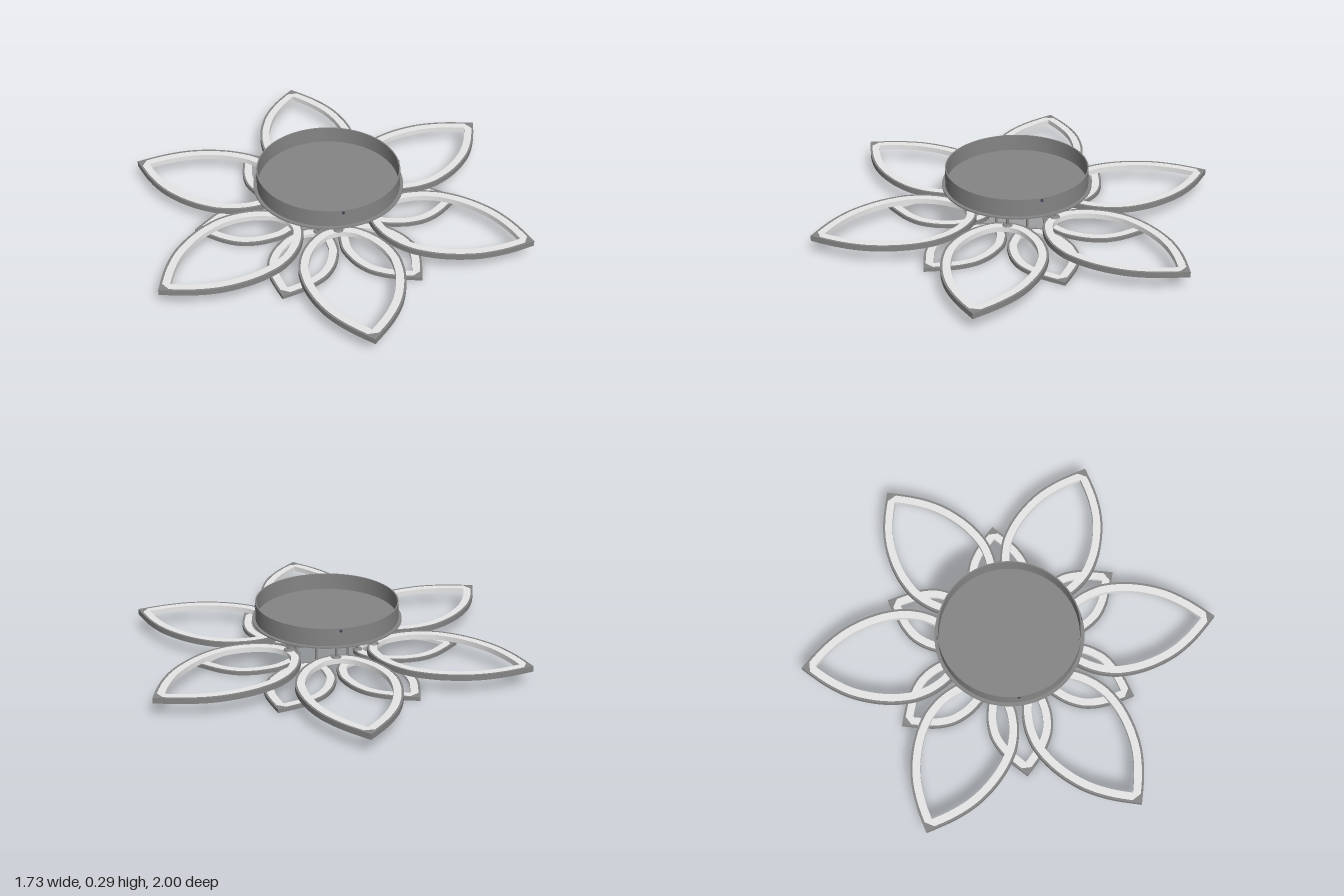
import * as THREE from 'three';
import { toCreasedNormals } from 'three/addons/utils/BufferGeometryUtils.js';

const metal = new THREE.MeshStandardMaterial({ color: 0x858585 });
metal.name = 'grey metal';
const diffuser = new THREE.MeshStandardMaterial({ color: 0xe8e8e8 });
diffuser.name = 'pale diffuser';
const screwPaint = new THREE.MeshStandardMaterial({ color: 0x45455a });
screwPaint.name = 'dark screw';

const V = (x, y) => new THREE.Vector2(x, y);

function add(parent, name, geometry, material, x = 0, y = 0, z = 0) {
  const mesh = new THREE.Mesh(geometry, material);
  mesh.name = name;
  mesh.position.set(x, y, z);
  parent.add(mesh);
  return mesh;
}

// Half outline from round base to pointed tip, as [radius, half width]
const largeProfile = [[0.21, 0], [0.222, 0.06], [0.25, 0.108], [0.31, 0.165], [0.38, 0.206], [0.45, 0.229],
  [0.51, 0.237], [0.6, 0.232], [0.7, 0.208], [0.8, 0.165], [0.9, 0.095], [1, 0]];
const smallProfile = [[0.13, 0], [0.14, 0.045], [0.165, 0.08], [0.2, 0.107], [0.25, 0.136], [0.32, 0.153],
  [0.38, 0.157], [0.45, 0.146], [0.52, 0.111], [0.58, 0.062], [0.645, 0]];

// Closed clockwise petal outline moved inwards by d, with a mitred tip
function outline(profile, d) {
  const mirrored = profile.slice(1).reverse().map(([r, w]) => V(r, -w));
  const curve = new THREE.SplineCurve([...mirrored, ...profile.map(([r, w]) => V(r, w))]);
  const n = 96;
  const half = [];
  for (let i = n / 2; i <= n; i++) {
    const p = curve.getPoint(i / n), t = curve.getTangent(i / n);
    half.push(V(p.x + t.y * d, p.y - t.x * d));
  }
  half[0].y = 0;
  const kept = half.filter((p, i) => i === 0 || p.y > 0.0005);
  const a = kept[kept.length - 2], b = kept[kept.length - 1];
  const tip = V(b.x + b.y * (b.x - a.x) / (a.y - b.y), 0);
  const lower = kept.slice(1).reverse().map((p) => V(p.x, -p.y));
  return [...kept, tip, ...lower];
}

// Upright extrusion; the hole runs the other way round so its walls face inwards
function slab(points, hole, depth) {
  const shape = new THREE.Shape(points);
  if (hole) shape.holes.push(new THREE.Path([...hole].reverse()));
  const geometry = new THREE.ExtrudeGeometry(shape, { depth, bevelEnabled: false });
  geometry.rotateX(-Math.PI / 2);
  return toCreasedNormals(geometry, 0.5);
}

// Ring of six petals with their hanging rods
function petalRing(name, profile, y, height, firstAngle, rodRadius) {
  const ring = new THREE.Group();
  ring.name = name + 'Ring';
  const outer = outline(profile, 0), middle = outline(profile, 0.01), inner = outline(profile, 0.046);
  const tipRadius = profile[profile.length - 1][0];
  const frame = slab(outer, middle, height);
  const strip = slab(middle, inner, height - 0.002);
  const tip = slab(outer.filter((p) => p.x > tipRadius - 0.045), null, height);
  const top = y + height;
  const rod = new THREE.CylinderGeometry(0.006, 0.006, 0.198 - top, 12);
  const foot = new THREE.CylinderGeometry(0.02, 0.024, 0.007, 20);
  for (let i = 0; i < 6; i++) {
    const petal = new THREE.Group();
    petal.name = name;
    petal.rotation.y = firstAngle + i * Math.PI / 3;
    add(petal, 'petalFrame', frame, metal, 0, y, 0);
    add(petal, 'petalDiffuser', strip, diffuser, 0, y + 0.001, 0);
    add(petal, 'petalTip', tip, metal, 0, y, 0);
    add(petal, 'rod', rod, metal, rodRadius, (0.198 + top) / 2, 0);
    add(petal, 'rodFoot', foot, metal, rodRadius, top + 0.0025, 0);
    ring.add(petal);
  }
  return ring;
}

export function createModel() {
  const model = new THREE.Group();
  model.name = 'petalCeilingLamp';

  // Open ceiling pan with a flange round its floor
  const pan = new THREE.LatheGeometry([V(0, 0.195), V(0.355, 0.195), V(0.355, 0.201), V(0.339, 0.201),
    V(0.339, 0.286), V(0.333, 0.286), V(0.333, 0.206), V(0, 0.206)], 72);
  add(model, 'ceilingPan', toCreasedNormals(pan, 0.5), metal);

  // Side screws
  const screw = new THREE.CylinderGeometry(0.007, 0.007, 0.006, 12);
  screw.rotateZ(Math.PI / 2);
  for (let i = 0; i < 4; i++) {
    const a = i * Math.PI / 2;
    add(model, 'panScrew', screw, screwPaint, 0.34 * Math.cos(a), 0.274, -0.34 * Math.sin(a)).rotation.y = a;
  }

  model.add(petalRing('largePetal', largeProfile, 0.07, 0.027, Math.PI / 6, 0.235));
  model.add(petalRing('smallPetal', smallProfile, 0, 0.018, 0, 0.15));
  return model;
}
